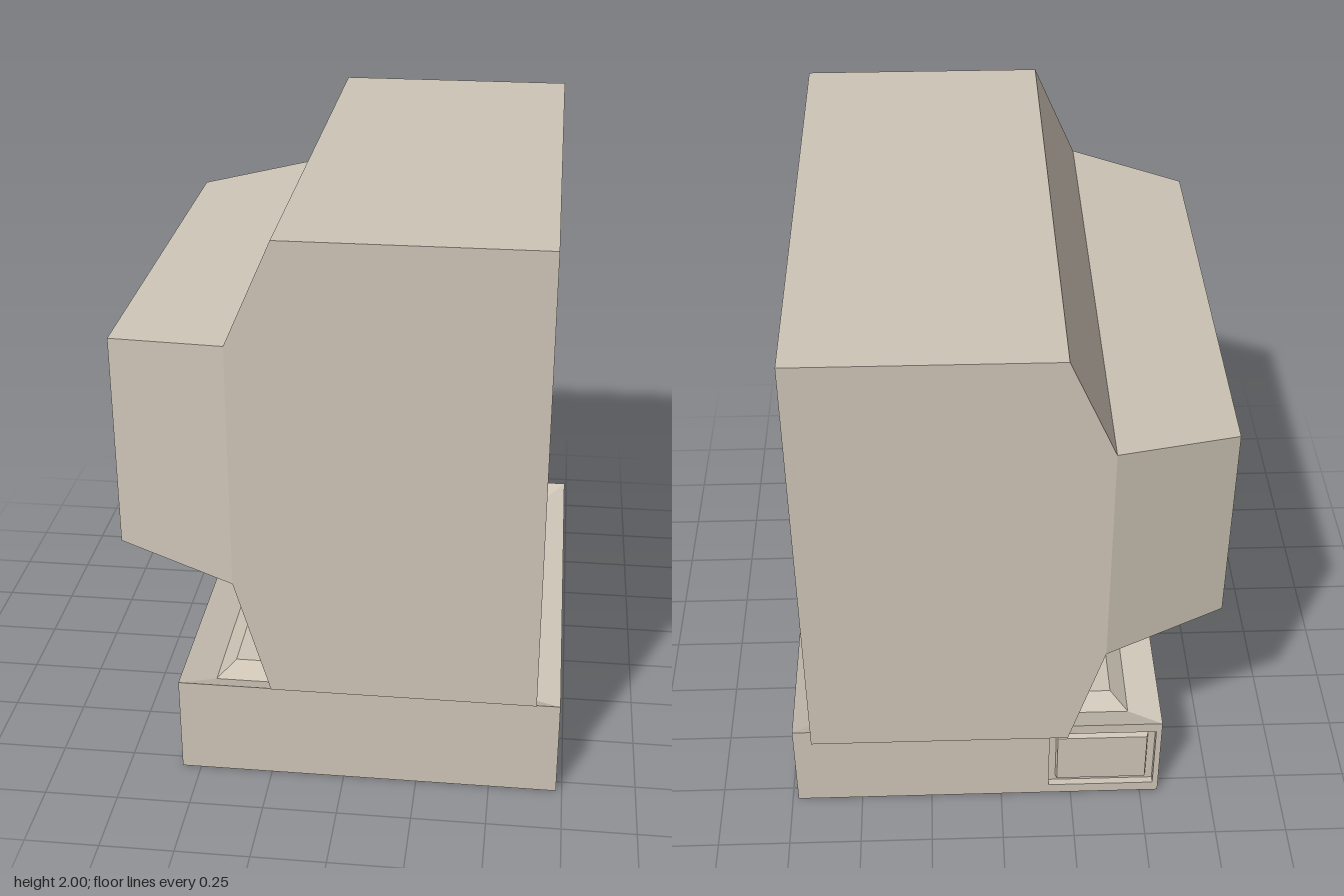
import * as THREE from 'three';

const beige = new THREE.MeshStandardMaterial({ color: 0xcdc4b6 });
beige.name = 'beige plastic';
const black = new THREE.MeshStandardMaterial({ color: 0x0d0d0d });
black.name = 'dark screen glass';

// Flat-shaded skin over successive four-cornered loops, with optional end caps
function loft(loops, startCap = false, endCap = false) {
  const pos = [];
  const quad = (a, b, c, d) => [a, b, c, a, c, d].forEach((p) => pos.push(...p));
  for (let k = 0; k + 1 < loops.length; k++) {
    const a = loops[k], b = loops[k + 1];
    for (let i = 0; i < 4; i++) {
      const j = (i + 1) % 4;
      quad(a[i], a[j], b[j], b[i]);
    }
  }
  if (startCap) quad(...[...loops[0]].reverse());
  if (endCap) quad(...loops[loops.length - 1]);
  const g = new THREE.BufferGeometry();
  g.setAttribute('position', new THREE.Float32BufferAttribute(pos, 3));
  g.computeVertexNormals();
  return g;
}

function add(parent, name, geometry, material = beige) {
  const mesh = new THREE.Mesh(geometry, material);
  mesh.name = name;
  parent.add(mesh);
  return mesh;
}

// Rectangle helpers: facing +x, facing +y and facing +z
const rectX = (xLow, xHigh, y0, y1, z) => [[xLow, y0, z], [xLow, y0, -z], [xHigh, y1, -z], [xHigh, y1, z]];
const rectY = (x0, x1, z, y) => [[x0, y, z], [x1, y, z], [x1, y, -z], [x0, y, -z]];
const rectZ = ([u0, v0, u1, v1], z, d = 0) => [
  [u0 + d, v0 + d, z], [u1 - d, v0 + d, z], [u1 - d, v1 - d, z], [u0 + d, v1 - d, z]];

// Wall in its own xy plane, cut by rectangular openings
function wall(rect, openings = []) {
  const outline = (r) => rectZ(r, 0).map(([x, y]) => new THREE.Vector2(x, y));
  const shape = new THREE.Shape(outline(rect));
  openings.forEach((r) => shape.holes.push(new THREE.Path(outline(r).reverse())));
  return new THREE.ShapeGeometry(shape);
}

function buildMonitor() {
  const monitor = new THREE.Group();
  monitor.name = 'monitor';

  // Housing from the tapered back to the bezel, then into the screen recess
  add(monitor, 'monitorHousing', loft([
    rectX(-0.73, -0.73, 0.885, 1.605, 0.79),
    rectX(-0.335, -0.335, 0.835, 1.66, 0.94),
    rectX(-0.22, -0.185, 0.44, 2.0, 0.94),
    rectX(0.65, 0.65, 0.44, 2.0, 0.94),
    rectX(0.65, 0.65, 0.655, 1.79, 0.69),
    rectX(0.54, 0.54, 0.7, 1.75, 0.64),
  ], true));

  add(monitor, 'screen', loft([rectX(0.54, 0.54, 0.7, 1.75, 0.64)], false, true), black);
  return monitor;
}

function buildBase() {
  const base = new THREE.Group();
  base.name = 'computerBase';
  const X0 = -0.565, X1 = 0.73, Z = 0.8, H = 0.345;

  // Front wall with three vent slots
  const front = new THREE.Group();
  front.name = 'ventedFront';
  front.position.x = X1;
  front.rotation.y = Math.PI / 2;
  const slots = [0.09, 0.175, 0.262].map((y) => [0.2, y, 0.6, y + 0.046]);
  add(front, 'frontWall', wall([-Z, 0, Z, H], slots));
  slots.forEach((s) => add(front, 'ventSlot', loft([rectZ(s, 0), rectZ(s, -0.05)], false, true)));
  base.add(front);

  // Side wall with a framed drive bay
  const driveSide = new THREE.Group();
  driveSide.name = 'driveSide';
  driveSide.position.z = -Z;
  driveSide.rotation.y = Math.PI;
  const bay = [0.17, 0.04, 0.545, 0.305];
  add(driveSide, 'driveWall', wall([-X1, 0, -X0, H], [bay]));
  add(driveSide, 'driveBay', loft([
    rectZ(bay, 0), rectZ(bay, -0.025), rectZ(bay, -0.025, 0.025), rectZ(bay, -0.005, 0.03),
  ], false, true));
  base.add(driveSide);

  // Plain side, back and underside
  add(base, 'plainSide', wall([X0, 0, X1, H])).position.z = Z;
  const back = add(base, 'backWall', wall([-Z, 0, Z, H]));
  back.position.x = X0;
  back.rotation.y = -Math.PI / 2;
  add(base, 'underside', wall([X0, -Z, X1, Z])).rotation.x = Math.PI / 2;

  // Top: sloped gutter around a flat plateau
  const ring = (d, y) => rectY(X0 + d, X1 - d, Z - d, y);
  add(base, 'baseTop', loft([ring(0, H), ring(0.11, H - 0.05), ring(0.17, H - 0.005)], false, true));
  return base;
}

export function createModel() {
  const model = new THREE.Group();
  model.name = 'desktopComputer';
  model.add(buildMonitor(), buildBase());
  return model;
}
